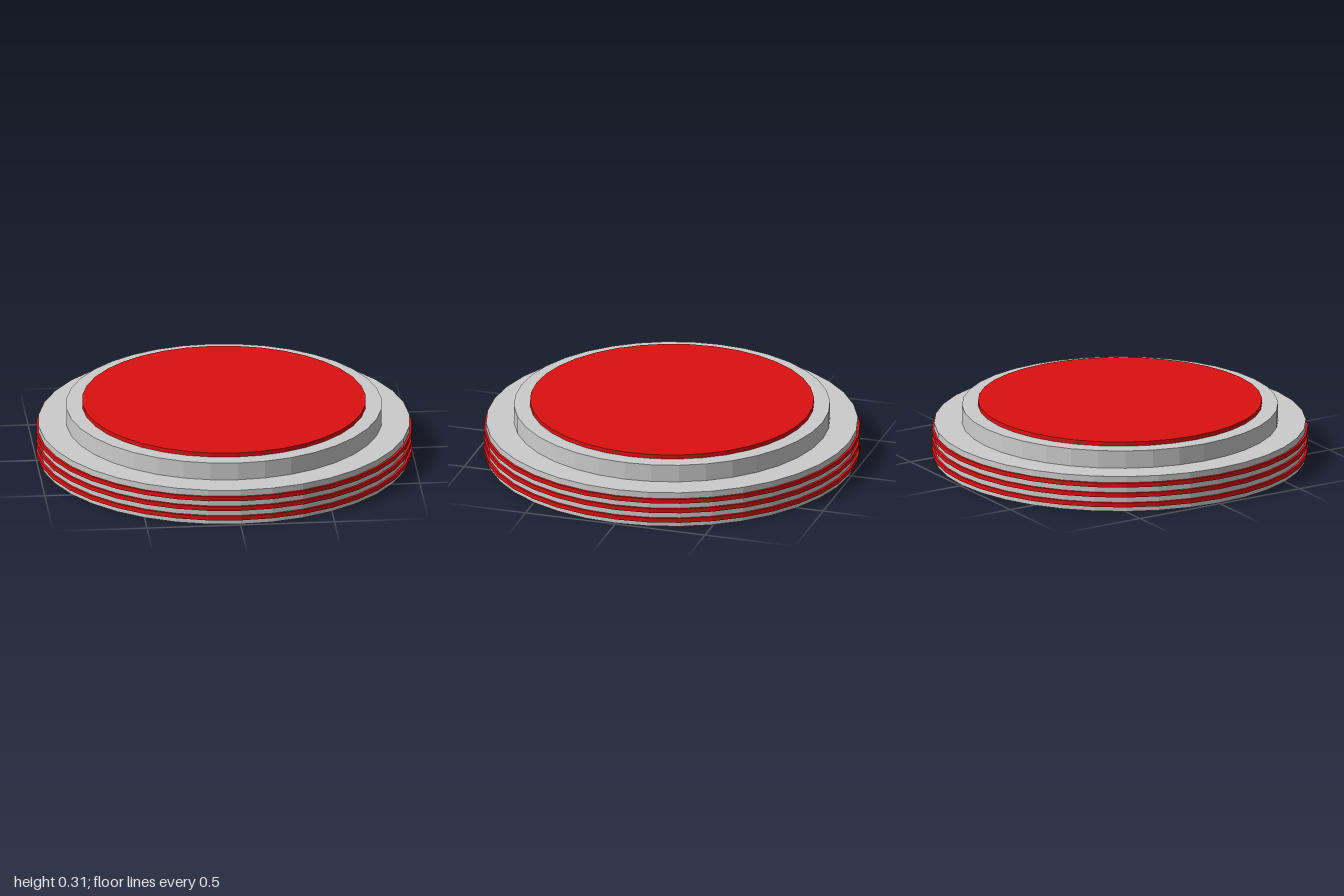
import * as THREE from 'three';

const SIDES = 36;

export function createModel() {
  const group = new THREE.Group();
  const grey = new THREE.MeshStandardMaterial({ color: 0xcccccc, flatShading: true });
  const red = new THREE.MeshStandardMaterial({ color: 0xdc1010, flatShading: true });

  // Upright disc spanning bottom to top
  function addDisc(name, radius, bottom, top, material) {
    const geometry = new THREE.CylinderGeometry(radius, radius, top - bottom, SIDES);
    const mesh = new THREE.Mesh(geometry, material);
    mesh.name = name;
    mesh.position.y = (bottom + top) / 2;
    group.add(mesh);
  }

  // Stepped body
  addDisc('base', 0.988, 0, 0.194, grey);
  addDisc('upperStep', 0.84, 0.194, 0.29, grey);

  // Raised coloured top
  addDisc('topPlate', 0.755, 0.29, 0.313, red);

  // Three thin bands proud of the base
  [0.038, 0.093, 0.148].forEach((y, i) => {
    addDisc(`band${i + 1}`, 1, y - 0.012, y + 0.012, red);
  });

  return group;
}
